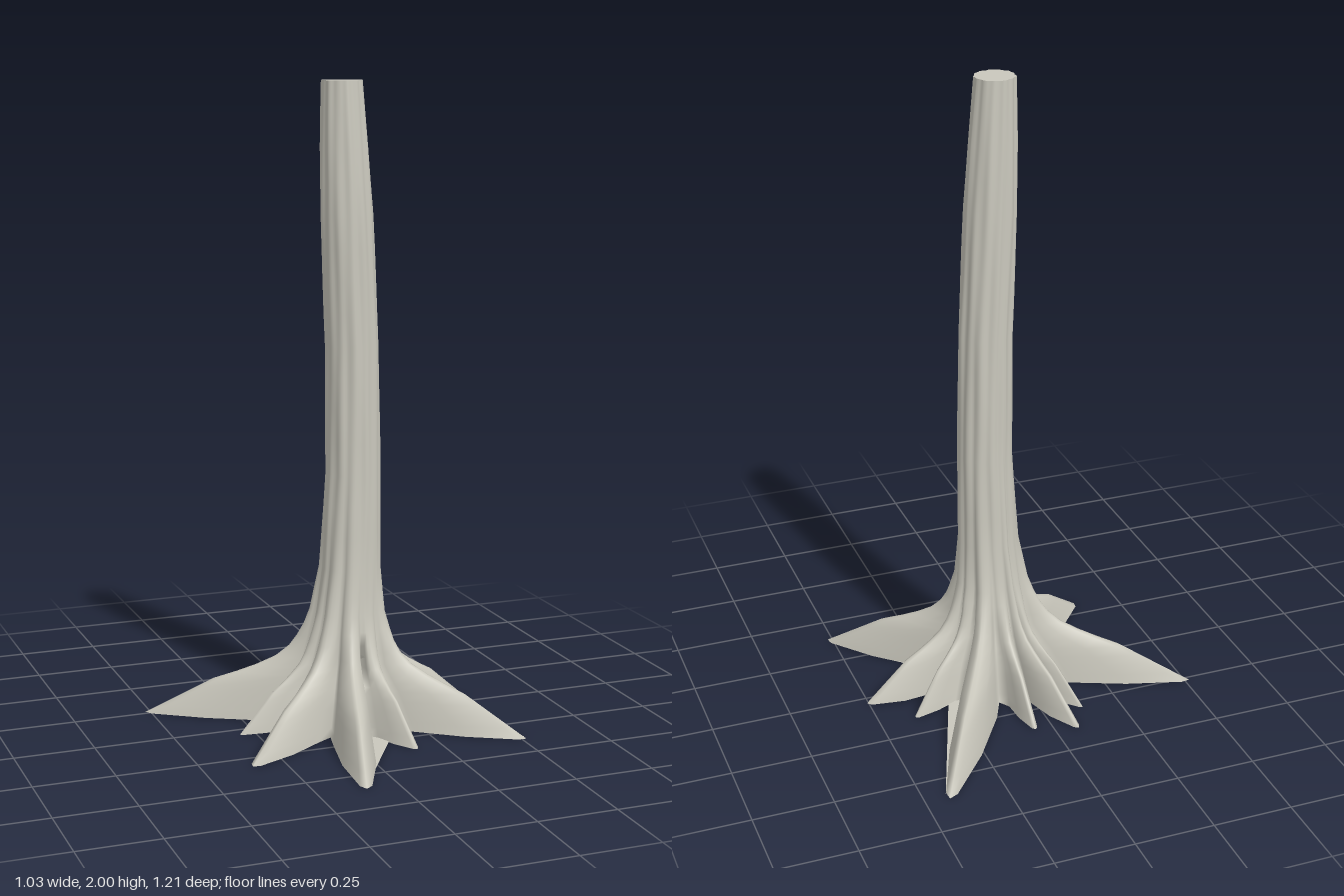
import * as THREE from 'three';

// Root tips as [x, z, half-width], in order around the trunk
const ROOTS = [
  [0.425, -0.605, 0.06], [0.385, -0.16, 0.03], [0.505, -0.03, 0.045], [0.515, 0.39, 0.055],
  [0.165, 0.355, 0.035], [-0.1, 0.605, 0.06], [-0.35, 0.32, 0.055], [-0.3, 0.045, 0.025],
  [-0.515, -0.265, 0.05], [-0.13, -0.29, 0.025], [-0.075, -0.395, 0.035], [0.055, -0.355, 0.03],
];
// Height -> valley radius, trunk centre and ridge reach
const RADIUS = [[0, 0.19], [0.12, 0.155], [0.2, 0.125], [0.35, 0.1], [0.5, 0.09], [0.8, 0.083],
  [1.2, 0.08], [1.6, 0.078], [1.8, 0.071], [2, 0.06]];
const CENTRE_X = [[0, 0.06], [0.35, 0.07], [0.5, 0.078], [0.8, 0.085], [1.2, 0.08], [1.6, 0.062], [2, 0.048]];
const CENTRE_Z = [[0, 0.01], [0.8, 0.015], [1.6, 0.02], [2, 0.015]];
const REACH = [[0, 1], [0.12, 0.59], [0.145, 0.45], [0.17, 0.33], [0.2, 0.22], [0.24, 0.13],
  [0.29, 0.08], [0.36, 0.045], [0.5, 0.015], [0.8, 0.006], [2, 0.004]];
const LEVELS = [0, 0.03, 0.06, 0.09, 0.12, 0.145, 0.17, 0.2, 0.235, 0.27, 0.31, 0.36, 0.42, 0.5];
for (let y = 0.6; y < 1.95; y += 0.1) LEVELS.push(y);
LEVELS.push(2);

function sample(table, y) {
  for (let i = 1; i < table.length; i++) {
    const [y0, v0] = table[i - 1], [y1, v1] = table[i];
    if (y <= y1) return v0 + (v1 - v0) * (y - y0) / (y1 - y0);
  }
  return table[table.length - 1][1];
}

const roots = ROOTS.map(([x, z, width]) => ({
  angle: Math.atan2(z - 0.01, x - 0.06), length: Math.hypot(x - 0.06, z - 0.01), width,
}));
const wrap = (a) => Math.atan2(Math.sin(a), Math.cos(a));

// One closed outline: eight points for each root, starting in the valley before it
function outline(y) {
  const g = sample(RADIUS, y), cx = sample(CENTRE_X, y), cz = sample(CENTRE_Z, y);
  const points = [];
  roots.forEach((root, i) => {
    const prev = roots[(i + 11) % 12], next = roots[(i + 1) % 12];
    const reach = (root.length - 0.19) * sample(REACH, y);
    const blend = THREE.MathUtils.clamp(reach / 0.08, 0, 1);
    for (let s = -4; s < 4; s++) {
      const t = s / 4, m = Math.abs(s);
      const half = Math.abs(wrap((s < 0 ? prev : next).angle - root.angle)) / 2;
      const polar = root.angle + t * half;
      const bark = 1 + (y > 0.3 ? 0.025 * Math.sin(polar * 13 + y * 2.5) + 0.015 * Math.sin(polar * 7 - y * 9) : 0);
      let r = (g + reach * (1 - t * t)) * bark;
      // Hollow between the two front roots
      if (i === 5 && m === 4 && y > 0.15 && y < 0.25) r = 0.045;
      let px = Math.cos(polar) * r, pz = Math.sin(polar) * r;
      if (m < 4) {
        const along = g + reach * [1, 0.95, 0.55, 0.15][m];
        const wide = root.width * [0, 0.3, 0.85, 1][m] * Math.max(0.5, 1 - 2 * y);
        const side = Math.sign(s) * Math.min(wide, along * Math.tan(half * 0.8));
        const c = Math.cos(root.angle), n = Math.sin(root.angle);
        px += (c * along - n * side - px) * blend;
        pz += (n * along + c * side - pz) * blend;
      }
      points.push([cx + px, y, cz + pz]);
    }
  });
  return points;
}

function build(points, index) {
  const geometry = new THREE.BufferGeometry();
  geometry.setAttribute('position', new THREE.Float32BufferAttribute(points.flat(), 3));
  geometry.setIndex(index);
  geometry.computeVertexNormals();
  return geometry;
}

// Fan that closes an outline
function cap(ring, centre, up) {
  const index = [], n = ring.length;
  for (let i = 0; i < n; i++) {
    const a = i + 1, b = (i + 1) % n + 1;
    index.push(0, up ? b : a, up ? a : b);
  }
  return build([centre, ...ring], index);
}

export function createModel() {
  const group = new THREE.Group();
  group.name = 'deadTree';
  const wood = new THREE.MeshStandardMaterial({ color: 0xc9c7bc });
  wood.name = 'pale wood';
  const thinWood = new THREE.MeshStandardMaterial({ color: 0xc9c7bc, side: THREE.DoubleSide });
  thinWood.name = 'pale wood sheet';
  const add = (name, geometry, material = wood) => {
    const mesh = new THREE.Mesh(geometry, material);
    mesh.name = name;
    group.add(mesh);
  };

  // Trunk and roots as one skin
  const rings = LEVELS.map(outline), n = rings[0].length, index = [];
  for (let j = 0; j < rings.length - 1; j++) {
    for (let i = 0; i < n; i++) {
      const k = (i + 1) % n, a = j * n + i, b = j * n + k;
      index.push(a, a + n, b, b, a + n, b + n);
    }
  }
  add('trunkAndRoots', build(rings.flat(), index));
  add('brokenTop', cap(rings[rings.length - 1], [0.048, 2, 0.015], true));
  add('underside', cap(rings[0], [0.06, 0, 0.01], false));

  // Thin webs of wood on the ground beside the large roots
  const webs = [
    [0.43, -0.58, 0.24, -0.06, 0.19, -0.12], [0.52, 0.38, 0.23, 0.05, 0.24, 0.14],
    [-0.35, 0.32, -0.03, 0.16, -0.1, 0.15], [-0.1, 0.6, 0.15, 0.2, 0.04, 0.15],
    [0.165, 0.34, 0.2, 0.13, 0.14, 0.18],
  ];
  for (const [ax, az, bx, bz, cx, cz] of webs) {
    add('rootWeb', build([[ax, 0.002, az], [bx, 0.002, bz], [cx, 0.002, cz]], [0, 1, 2]), thinWood);
  }
  return group;
}
